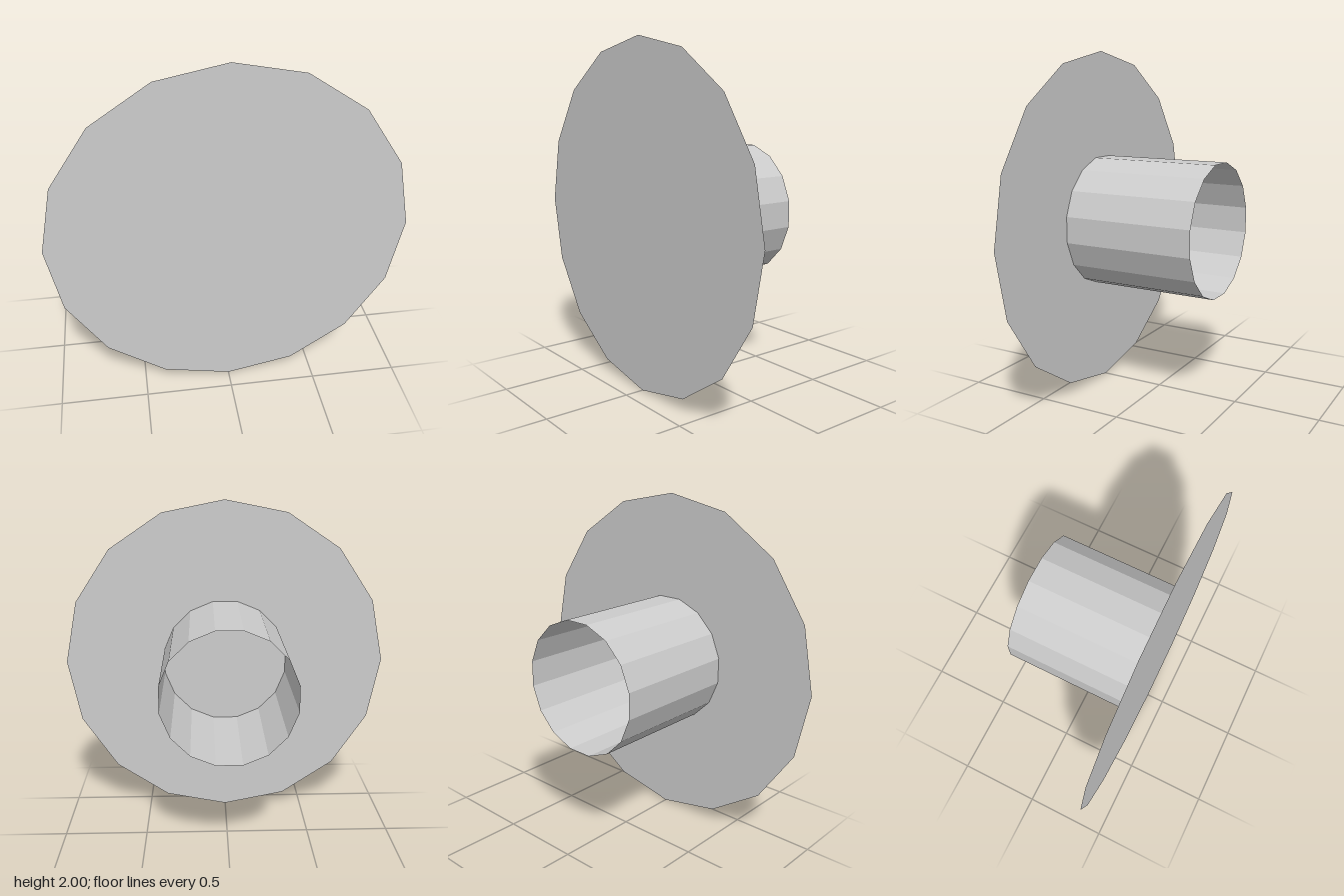
import * as THREE from 'three';

const SIDES = 16;
const TUBE_RADIUS = 0.389;
const HALF_DEPTH = 0.389;

export function createModel() {
  const group = new THREE.Group();
  const material = new THREE.MeshStandardMaterial({
    color: 0xcccccc, flatShading: true, side: THREE.DoubleSide,
  });

  // Thin round front plate
  const plate = new THREE.Mesh(new THREE.CircleGeometry(1, SIDES), material);
  plate.name = 'frontPlate';
  plate.position.set(0, 1, HALF_DEPTH);
  group.add(plate);

  // Open tube behind the plate, turned half a facet so flats face the axes
  const tubeGeometry = new THREE.CylinderGeometry(
    TUBE_RADIUS, TUBE_RADIUS, HALF_DEPTH * 2, SIDES, 1, true);
  tubeGeometry.rotateY(Math.PI / SIDES).rotateX(Math.PI / 2);
  const tube = new THREE.Mesh(tubeGeometry, material);
  tube.name = 'rearTube';
  tube.position.y = 1;
  group.add(tube);

  return group;
}
